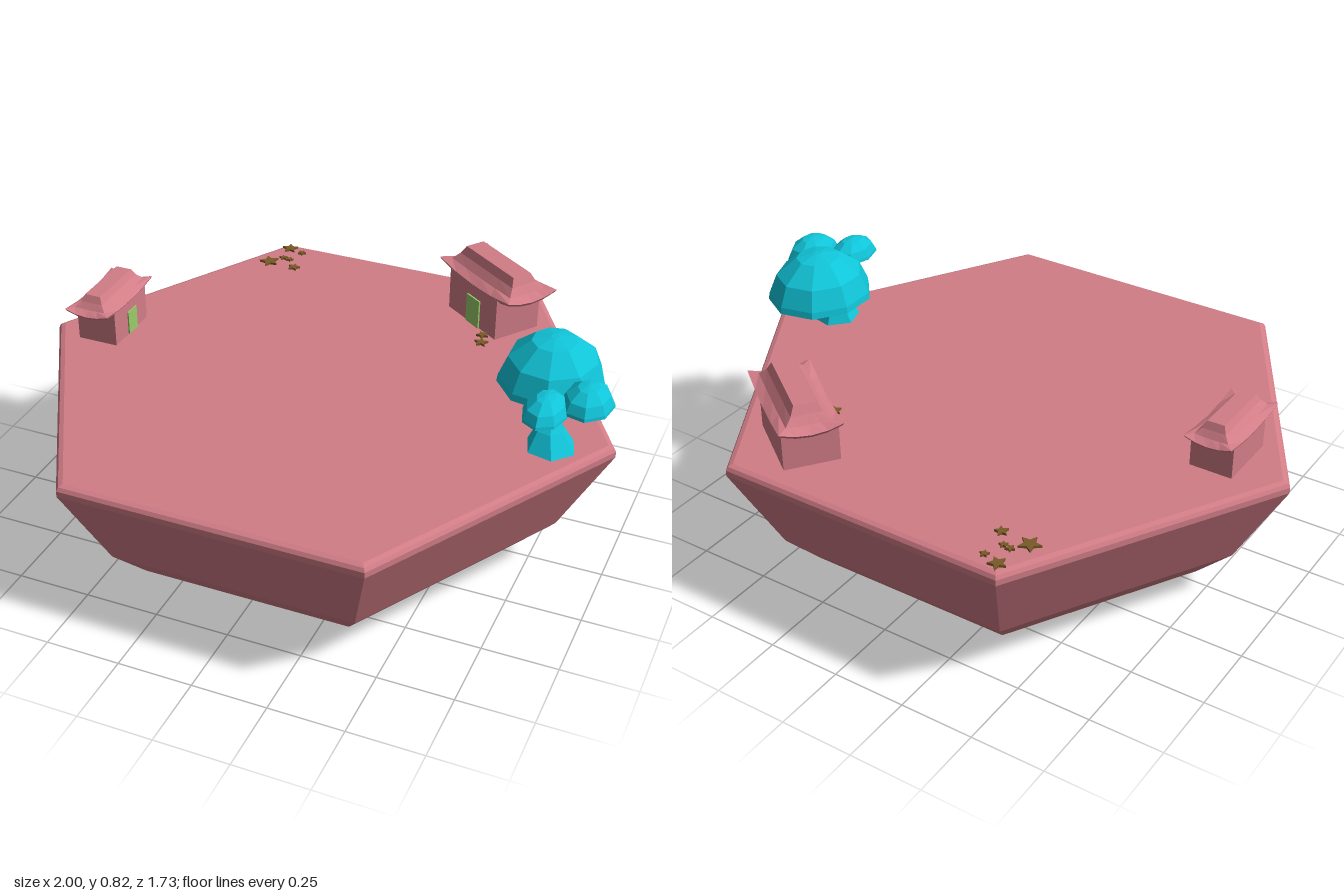
import * as THREE from 'three';

const pink = new THREE.MeshStandardMaterial({ name: 'rose stone', color: 0xd27d87 });
const teal = new THREE.MeshStandardMaterial({ name: 'teal foliage', color: 0x10c4d8 });
const green = new THREE.MeshStandardMaterial({ name: 'green door', color: 0x9acb6b });
const brown = new THREE.MeshStandardMaterial({ name: 'brown star', color: 0x7a5a28 });

function add(parent, name, geometry, material, x = 0, y = 0, z = 0) {
  const mesh = new THREE.Mesh(geometry, material);
  mesh.name = name;
  mesh.position.set(x, y, z);
  parent.add(mesh);
  return mesh;
}

// Faceted, capped skin over rings of equal length (anticlockwise from above, bottom to top)
function loft(rings) {
  const pos = [];
  const tri = (...pts) => pts.forEach((p) => pos.push(p.x, p.y, p.z));
  const n = rings[0].length;
  const centre = (r) => r.reduce((s, p) => s.add(p), new THREE.Vector3()).divideScalar(n);
  const low = rings[0], high = rings[rings.length - 1];
  const c0 = centre(low), c1 = centre(high);
  for (let i = 0; i < n; i++) {
    const k = (i + 1) % n;
    for (let j = 0; j < rings.length - 1; j++) {
      const r = rings[j], s = rings[j + 1];
      tri(r[i], r[k], s[i]);
      tri(s[i], r[k], s[k]);
    }
    tri(c0, low[k], low[i]);
    tri(c1, high[i], high[k]);
  }
  const g = new THREE.BufferGeometry();
  g.setAttribute('position', new THREE.Float32BufferAttribute(pos, 3));
  g.computeVertexNormals();
  return g;
}

function ovalRing(n, rx, rz, x, y, z, turn = 0) {
  return Array.from({ length: n }, (_, i) => {
    const a = turn + (i / n) * Math.PI * 2;
    return new THREE.Vector3(x + rx * Math.sin(a), y, z + rz * Math.cos(a));
  });
}

// Rectangular ring whose corners curl upward by lift
function eaveRing(a, b, y, lift) {
  const ring = [];
  const point = (x, z, t) => ring.push(new THREE.Vector3(x, y + lift * t * t, z));
  const steps = [-1, -0.5, 0, 0.5];
  steps.forEach((t) => point(a * t, b, t));
  steps.forEach((t) => point(a, -b * t, t));
  steps.forEach((t) => point(-a * t, -b, t));
  steps.forEach((t) => point(-a, b * t, t));
  return ring;
}

function house(name, x, y, z, turn, scale) {
  const g = new THREE.Group();
  g.name = name;
  add(g, 'houseBody', new THREE.BoxGeometry(0.275, 0.155, 0.165), pink, 0, 0.0775, 0);
  add(g, 'frontWall', new THREE.BoxGeometry(0.275, 0.155, 0.02), pink, 0, 0.0775, 0.09);
  add(g, 'door', new THREE.BoxGeometry(0.073, 0.106, 0.008), green, 0.008, 0.054, 0.102);
  add(g, 'roof', loft([
    eaveRing(0.14, 0.085, 0.14, 0),
    eaveRing(0.198, 0.098, 0.142, 0.02),
    eaveRing(0.204, 0.102, 0.152, 0.02),
    eaveRing(0.172, 0.072, 0.17, 0.003),
    eaveRing(0.152, 0.05, 0.196, 0),
    eaveRing(0.137, 0.036, 0.225, 0),
  ]), pink);
  g.position.set(x, y, z);
  g.rotation.y = turn;
  g.scale.setScalar(scale);
  return g;
}

function canopy(parent, name, x, y, z, rx, h, rz, sides, turn) {
  const levels = [[0.8, 0.06], [1, 0], [0.98, 0.14], [0.82, 0.56], [0.42, 0.92], [0.08, 1]];
  add(parent, name, loft(levels.map(([r, t]) =>
    ovalRing(sides, rx * r, rz * r, x, y + h * t, z, turn))), teal);
}

// Limb from [x, y, z, radius] stations
function limb(parent, name, stations) {
  add(parent, name, loft(stations.map(([x, y, z, r]) => ovalRing(6, r, r, x, y, z, 0.3))), teal);
}

function star(parent, x, z, r, turn) {
  const s = new THREE.Shape();
  for (let i = 0; i < 10; i++) {
    const a = (i / 10) * Math.PI * 2, q = i % 2 ? r * 0.48 : r;
    s[i ? 'lineTo' : 'moveTo'](q * Math.sin(a), q * Math.cos(a));
  }
  const geo = new THREE.ExtrudeGeometry(s, { depth: 0.009, bevelEnabled: false });
  geo.rotateX(-Math.PI / 2).rotateY(turn);
  add(parent, 'star', geo, brown, x, 0.505, z);
}

export function createModel() {
  const model = new THREE.Group();
  model.name = 'hexagonalIsland';

  // Hexagonal island with a rounded rim and tapering underside
  const profile = [[0.54, 0], [0.71, 0.045], [0.83, 0.16], [1, 0.468], [1, 0.488], [0.992, 0.5], [0.975, 0.506]];
  add(model, 'island', loft(profile.map(([r, y]) => ovalRing(6, r, r, 0, y, 0, Math.PI / 6))), pink);

  // Two pavilions
  model.add(house('largeHouse', 0.395, 0.505, -0.64, -0.63, 1));
  model.add(house('smallHouse', -0.79, 0.532, -0.005, Math.PI / 2, 0.785));

  // Windswept tree
  const tree = new THREE.Group();
  tree.name = 'tree';
  model.add(tree);
  limb(tree, 'trunk', [
    [0.81, 0.503, 0.077, 0.085], [0.8, 0.565, 0.065, 0.046], [0.795, 0.595, 0.04, 0.033],
    [0.79, 0.622, 0.01, 0.032], [0.78, 0.65, 0, 0.03], [0.77, 0.69, -0.02, 0.04],
  ]);
  limb(tree, 'branch', [
    [0.795, 0.605, 0.01, 0.022], [0.81, 0.635, 0.07, 0.022],
    [0.82, 0.66, 0.13, 0.018], [0.82, 0.712, 0.17, 0.018],
  ]);
  limb(tree, 'twig', [[0.82, 0.65, 0.12, 0.016], [0.87, 0.68, 0.12, 0.014], [0.91, 0.725, 0.11, 0.014]]);
  canopy(tree, 'largeCanopy', 0.762, 0.662, -0.055, 0.172, 0.16, 0.186, 9, 0.2);
  canopy(tree, 'sideCanopy', 0.918, 0.705, 0.105, 0.082, 0.07, 0.104, 8, 0.2);
  canopy(tree, 'frontCanopy', 0.81, 0.697, 0.19, 0.07, 0.065, 0.103, 8, 0);

  // Scattered stars on the ground
  [
    [-0.475, -0.82, 0.03], [-0.42, -0.803, 0.016], [-0.468, -0.742, 0.016], [-0.442, -0.738, 0.015],
    [-0.505, -0.695, 0.037], [-0.402, -0.687, 0.023], [0.4, -0.487, 0.022], [0.412, -0.437, 0.025],
  ].forEach(([x, z, r], i) => star(model, x, z, r, 0.3 + i * 0.7));

  return model;
}
